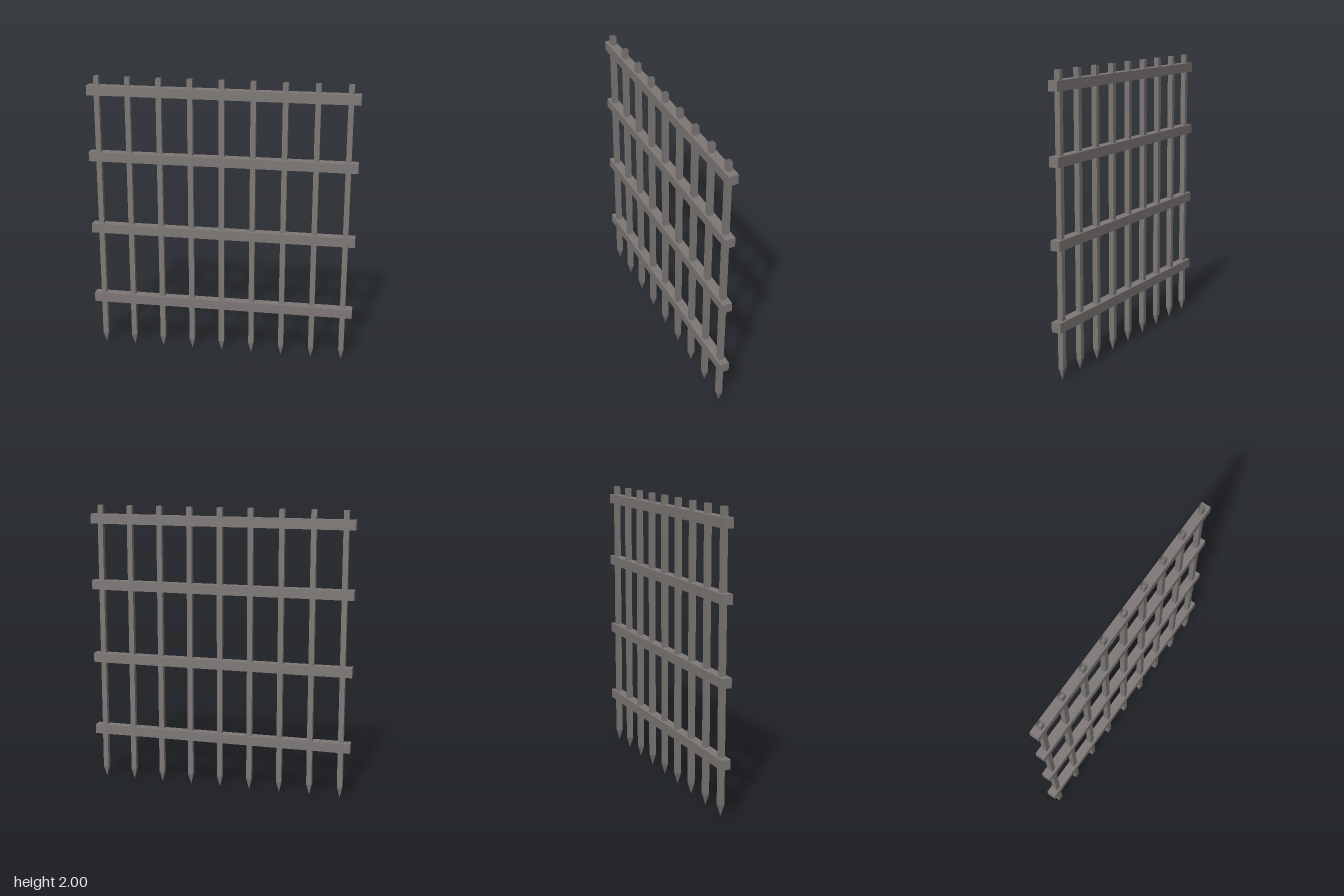
import * as THREE from 'three';

export function createModel() {
  const group = new THREE.Group();
  const railMaterial = new THREE.MeshStandardMaterial({ color: 0x7d7876, flatShading: true });
  const barMaterial = railMaterial.clone();
  barMaterial.side = THREE.DoubleSide;

  // Square upright bars, open at the top, with a pointed lower end
  const r = 0.037 / Math.SQRT2;
  const profile = [[0, 0], [r, 0.08], [r, 2]].map(([x, y]) => new THREE.Vector2(x, y));
  const barGeometry = new THREE.LatheGeometry(profile, 4, Math.PI / 4);
  const bars = new THREE.Group();
  bars.name = 'uprightBars';
  for (let i = -4; i <= 4; i++) {
    const bar = new THREE.Mesh(barGeometry, barMaterial);
    bar.name = 'spikedBar';
    bar.position.x = i * 0.2167;
    bars.add(bar);
  }
  group.add(bars);

  // Horizontal rails that the bars pass through
  const railGeometry = new THREE.BoxGeometry(1.867, 0.0667, 0.0667);
  const rails = new THREE.Group();
  rails.name = 'crossRails';
  for (const y of [0.37, 0.905, 1.435, 1.903]) {
    const rail = new THREE.Mesh(railGeometry, railMaterial);
    rail.name = 'crossRail';
    rail.position.y = y;
    rails.add(rail);
  }
  group.add(rails);
  return group;
}
